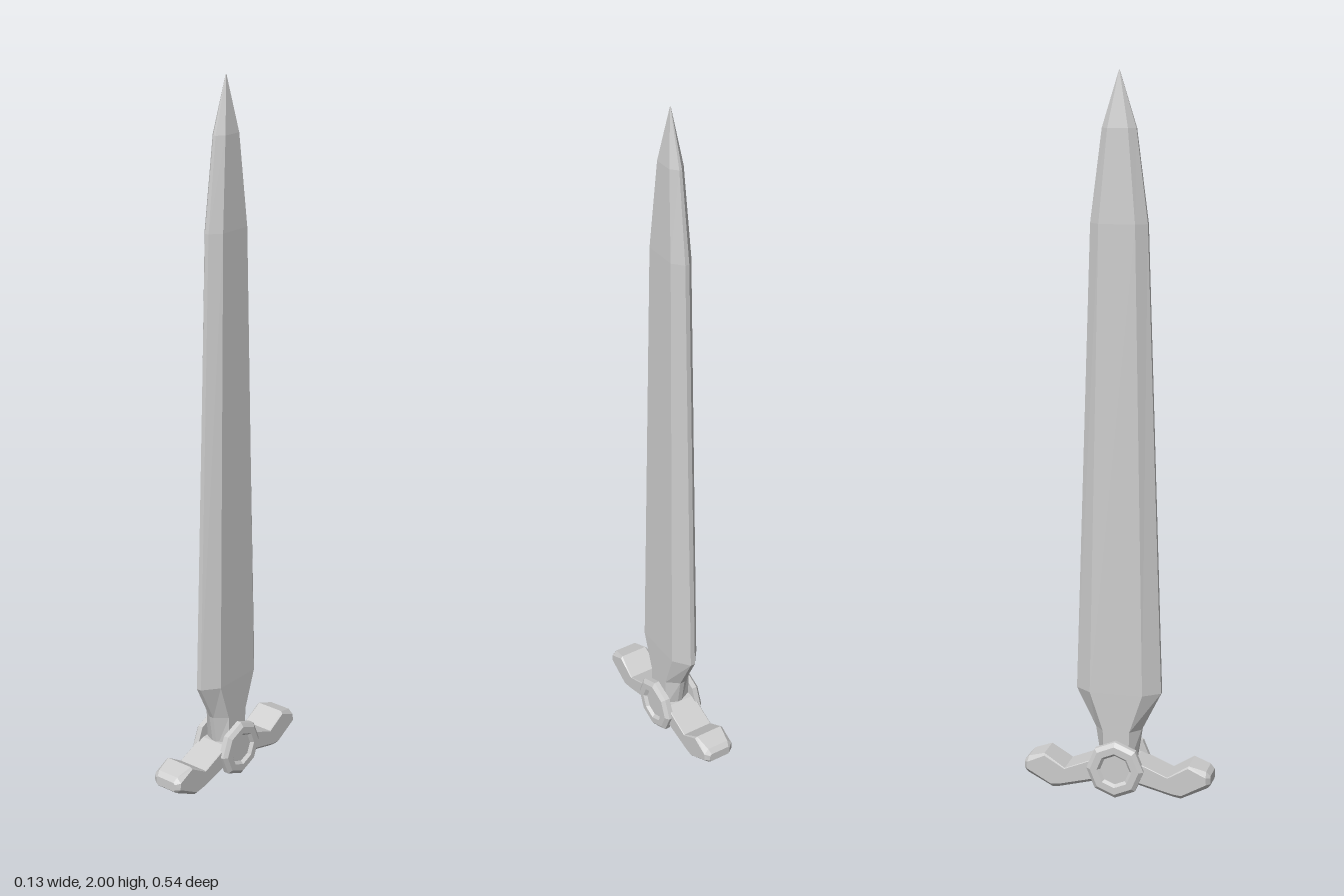
import * as THREE from 'three';

const steel = new THREE.MeshStandardMaterial({ color: 0xcccccc, flatShading: true });
steel.name = 'plain grey steel';

// Joins equal-length rings of [x, y, z] points and closes both ends.
// Rings run anticlockwise as seen from the end of the path.
function loft(rings) {
  const n = rings[0].length;
  const pos = [];
  const tri = (a, b, c) => pos.push(...a, ...b, ...c);
  for (let i = 0; i < rings.length - 1; i++) {
    for (let j = 0; j < n; j++) {
      const k = (j + 1) % n;
      tri(rings[i][j], rings[i][k], rings[i + 1][k]);
      tri(rings[i][j], rings[i + 1][k], rings[i + 1][j]);
    }
  }
  const first = rings[0], last = rings[rings.length - 1];
  for (let j = 1; j < n - 1; j++) {
    tri(first[0], first[j + 1], first[j]);
    tri(last[0], last[j], last[j + 1]);
  }
  const g = new THREE.BufferGeometry();
  g.setAttribute('position', new THREE.Float32BufferAttribute(pos, 3));
  g.computeVertexNormals();
  return g;
}

function part(name, geometry) {
  const m = new THREE.Mesh(geometry, steel);
  m.name = name;
  return m;
}

// Blade: flat faces, bevels and narrow blunt edges
function bladeGeometry() {
  // y, half width, half width of the flat, half thickness, half edge
  const stations = [
    [0.09, 0.05, 0.035, 0.04, 0.007],
    [0.19, 0.066, 0.038, 0.041, 0.007],
    [0.3, 0.121, 0.075, 0.042, 0.007],
    [1.6, 0.079, 0.05, 0.031, 0.006],
    [1.85, 0.047, 0.028, 0.021, 0.004],
    [2.0, 0.001, 0.0005, 0.001, 0.0005],
  ];
  return loft(stations.map(([y, w, f, t, e]) => [
    [e, y, w], [t, y, f], [t, y, -f], [e, y, -w],
    [-e, y, -w], [-t, y, -f], [-t, y, f], [-e, y, w],
  ]));
}

// Crossguard: one wavy bar with chamfered lower edges and ends
function guardGeometry() {
  // top z, top y, bottom z, bottom y, half width, top chamfer, bottom chamfer
  const half = [
    [0.055, 0.108, 0.055, 0.04, 0.047, 0.002, 0.01],
    [0.148, 0.07, 0.165, 0.011, 0.047, 0.002, 0.012],
    [0.208, 0.108, 0.185, 0.008, 0.047, 0.006, 0.012],
    [0.256, 0.093, 0.259, 0.045, 0.047, 0.014, 0.014],
    [0.268, 0.08, 0.268, 0.053, 0.034, 0.005, 0.005],
  ];
  const ring = ([zt, yt, zb, yb, h, ct, cb], side) => {
    const at = (x, y) => [x, y, side * (zb + (zt - zb) * (y - yb) / (yt - yb))];
    return [
      at(h, yb + cb), at(h, yt - ct), at(h - ct, yt), at(ct - h, yt),
      at(-h, yt - ct), at(-h, yb + cb), at(cb - h, yb), at(h - cb, yb),
    ];
  };
  return loft([
    ...half.map((s) => ring(s, -1)).reverse(),
    ...half.map((s) => ring(s, 1)),
  ]);
}

// Boss: eight-sided disc with a chamfered rim and a sunken centre
function bossGeometry() {
  const profile = [
    [0, 0.04], [0.082, 0.04], [0.082, 0.055], [0.07, 0.064],
    [0.05, 0.064], [0.042, 0.055], [0, 0.055],
  ].map(([r, h]) => new THREE.Vector2(r, h));
  return new THREE.LatheGeometry(profile, 8);
}

export function createModel() {
  const model = new THREE.Group();
  model.name = 'sword';
  model.add(part('blade', bladeGeometry()), part('crossguard', guardGeometry()));
  for (const [name, side] of [['leftBoss', 1], ['rightBoss', -1]]) {
    const boss = part(name, bossGeometry());
    boss.rotation.z = -side * Math.PI / 2;
    boss.position.y = 0.082;
    model.add(boss);
  }
  return model;
}
